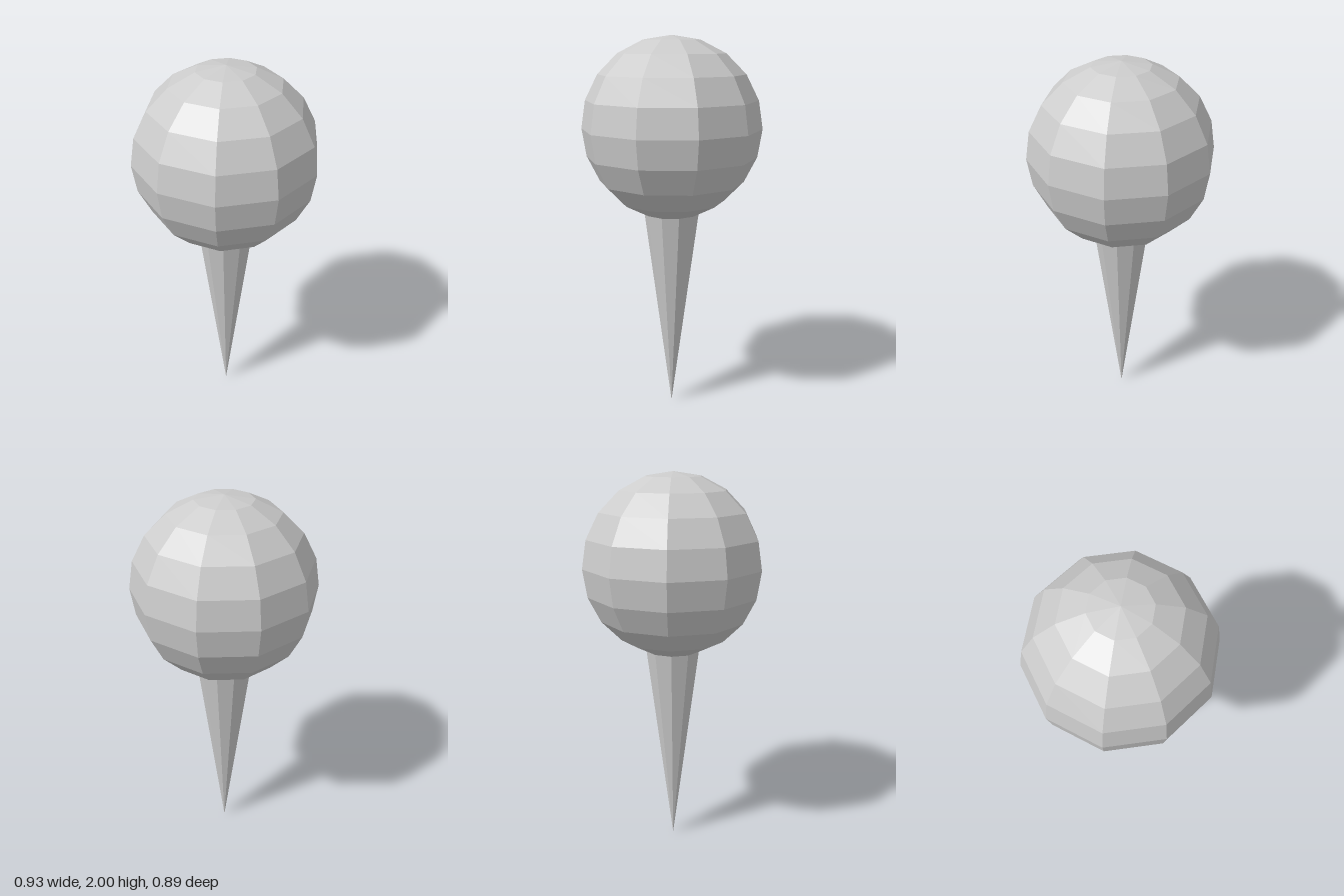
import * as THREE from 'three';

const SIDES = 10;
const RINGS = 10;
const RADIUS = 0.466;
const STEP = Math.PI / RINGS;

export function createModel() {
  const group = new THREE.Group();
  group.name = 'pin';
  const material = new THREE.MeshStandardMaterial({ color: 0xcccccc, flatShading: true });

  // Faceted ball, left open at its lowest ring where the spike begins
  const centreY = 2 - RADIUS;
  const ball = new THREE.Mesh(
    new THREE.SphereGeometry(RADIUS, SIDES, RINGS - 1, 0, Math.PI * 2, 0, Math.PI - STEP),
    material
  );
  ball.name = 'ballHead';
  ball.position.y = centreY;

  // Spike tapering from that ring to a point on the ground
  const neckY = centreY - RADIUS * Math.cos(STEP);
  const neckRadius = RADIUS * Math.sin(STEP);
  const spike = new THREE.Mesh(
    new THREE.CylinderGeometry(neckRadius, 0, neckY, SIDES, 1, true, Math.PI / 2),
    material
  );
  spike.name = 'spike';
  spike.position.y = neckY / 2;

  group.add(ball, spike);
  return group;
}
